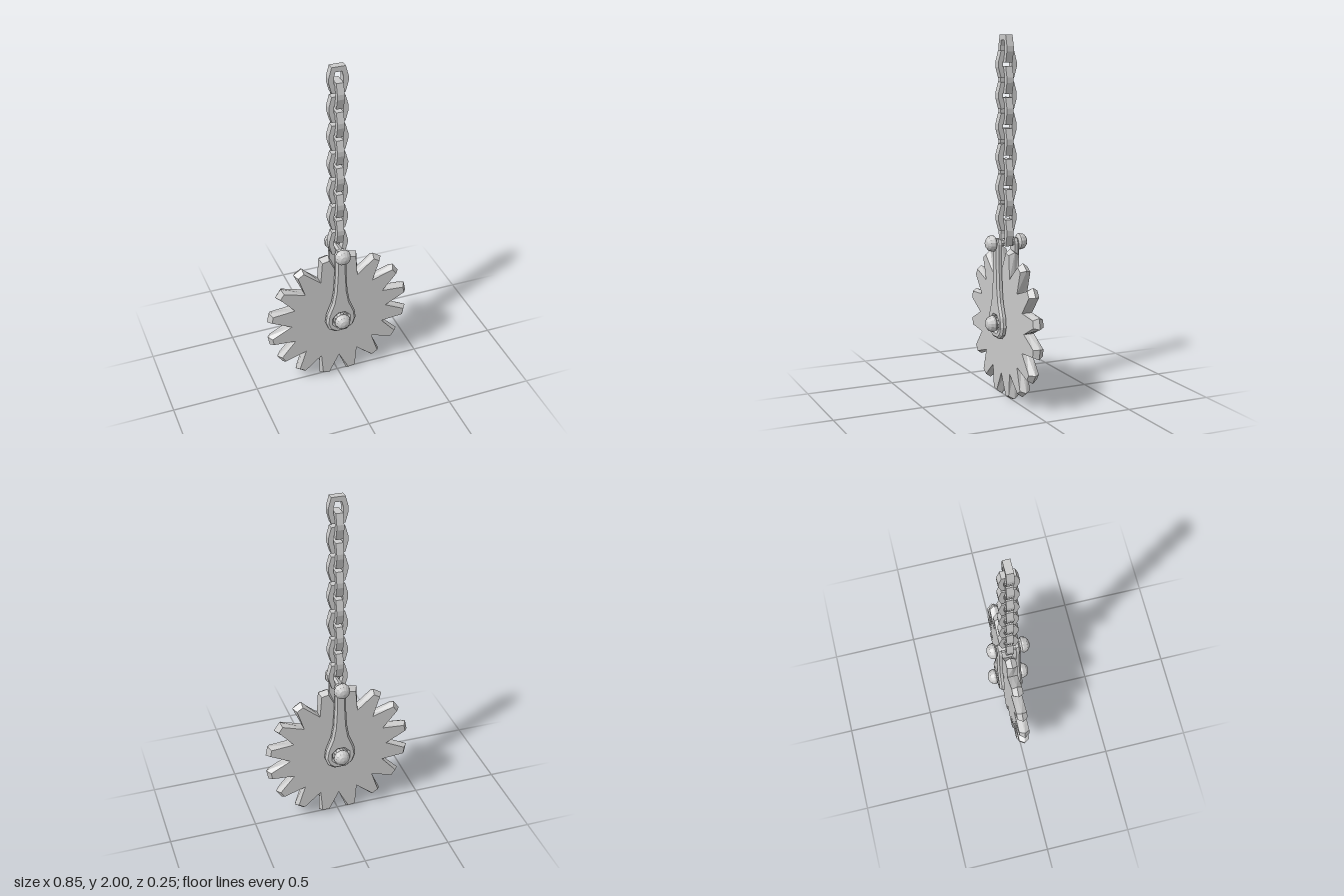
import * as THREE from 'three';

const material = new THREE.MeshStandardMaterial({ color: 0xcccccc, flatShading: true });
const HUB_Y = 0.425, PIN_Y = 0.875;

function add(parent, name, geometry, x = 0, y = 0, z = 0) {
  const mesh = new THREE.Mesh(geometry, material);
  mesh.name = name;
  mesh.position.set(x, y, z);
  parent.add(mesh);
  return mesh;
}

const toVectors = (pairs) => pairs.map(([x, y]) => new THREE.Vector2(x, y));

// Toothed disc whose tooth tips come to a ridge halfway through the thickness
function gearGeometry() {
  const teeth = 16, step = (Math.PI * 2) / teeth, half = 0.03;
  const points = [];
  const polar = (r, a) => points.push(new THREE.Vector2(r * Math.sin(a), r * Math.cos(a)));
  for (let i = 0; i < teeth; i++) {
    const valley = i * step, tip = valley + step / 2;
    polar(0.287, valley);
    polar(0.407, tip - 0.05);
    polar(0.407, tip + 0.05);
  }
  const geometry = new THREE.ExtrudeGeometry(new THREE.Shape(points), {
    depth: half * 2, steps: 2, bevelEnabled: false,
  });
  geometry.translate(0, 0, -half);
  const p = geometry.attributes.position;
  for (let i = 0; i < p.count; i++) {
    const r = Math.hypot(p.getX(i), p.getY(i));
    if (Math.abs(p.getZ(i)) > 0.001 || r < 0.35) continue;
    // Push the ridge outwards and widen it around the tooth's centre line
    const a = Math.atan2(p.getX(i), p.getY(i));
    const centre = (Math.floor(a / step) + 0.5) * step;
    const wide = centre + (a - centre) * 1.4;
    p.setXY(i, 0.427 * Math.sin(wide), 0.427 * Math.cos(wide));
  }
  geometry.computeVertexNormals();
  return geometry;
}

// Tapered arm with an eye at the hub, bevelled on its outer face only
function armGeometry() {
  const side = [
    [0.035, -0.083], [0.073, -0.055], [0.09, -0.008], [0.083, 0.045], [0.052, 0.125],
    [0.039, 0.2], [0.032, 0.33], [0.033, 0.445], [0.02, 0.475],
  ];
  const mirrored = side.map(([x, y]) => [-x, y]).reverse();
  const shape = new THREE.Shape(toVectors([...side, ...mirrored]));
  const eye = [];
  for (let i = 0; i < 8; i++) {
    const a = -(i + 0.5) * Math.PI / 4;
    eye.push(new THREE.Vector2(0.046 * Math.cos(a), 0.046 * Math.sin(a)));
  }
  shape.holes.push(new THREE.Path(eye));
  const geometry = new THREE.ExtrudeGeometry(shape, {
    depth: 0.017, bevelThickness: 0.012, bevelSize: 0.012, bevelOffset: -0.012, bevelSegments: 1,
  });
  // Flatten the bevel on the inner face
  const p = geometry.attributes.position;
  for (let i = 0; i < p.count; i++) p.setZ(i, Math.max(0, p.getZ(i)));
  geometry.computeVertexNormals();
  return geometry;
}

// Six-sided flat chain link with a six-sided opening
function linkGeometry() {
  const ring = (end, mid, h, m) => toVectors([
    [end, -h], [mid, -m], [mid, m], [end, h], [-end, h], [-mid, m], [-mid, -m], [-end, -h],
  ]);
  const shape = new THREE.Shape(ring(0.038, 0.054, 0.073, 0.014));
  shape.holes.push(new THREE.Path(ring(0.018, 0.026, 0.045, 0.014).reverse()));
  const geometry = new THREE.ExtrudeGeometry(shape, { depth: 0.04, bevelEnabled: false });
  geometry.translate(0, 0, -0.02);
  return geometry;
}

export function createModel() {
  const model = new THREE.Group();
  model.name = 'hangingGearPulley';

  add(model, 'gear', gearGeometry(), 0, HUB_Y, 0);

  // Axle and chain pin, running front to back
  for (const [name, y, r] of [['axle', HUB_Y, 0.03], ['chainPin', PIN_Y, 0.021]]) {
    add(model, name, new THREE.CylinderGeometry(r, r, 0.15, 8).rotateX(Math.PI / 2), 0, y, 0);
  }

  // Arm and two domed rivet heads on each face
  const arm = armGeometry();
  const dome = new THREE.LatheGeometry(toVectors([
    [0, 0.066], [0.03, 0.066], [0.044, 0.075], [0.046, 0.085], [0.039, 0.105], [0.023, 0.118], [0, 0.123],
  ]), 14).rotateX(Math.PI / 2);
  for (const [face, turn] of [['front', 0], ['back', Math.PI]]) {
    const side = new THREE.Group();
    side.name = face + 'Side';
    side.rotation.y = turn;
    add(side, face + 'Arm', arm, 0, HUB_Y, 0.04);
    add(side, face + 'AxleRivet', dome, 0, HUB_Y, 0);
    add(side, face + 'PinRivet', dome, 0, PIN_Y, 0);
    model.add(side);
  }

  // Chain of links, each turned a quarter from the last
  const chain = new THREE.Group();
  chain.name = 'chain';
  const link = linkGeometry();
  for (let i = 0; i < 13; i++) {
    const mesh = add(chain, 'chainLink' + (i + 1), link, 0, 1.927 - i * 0.0829, 0);
    mesh.rotation.y = (i % 2) * Math.PI / 2;
  }
  model.add(chain);
  return model;
}
